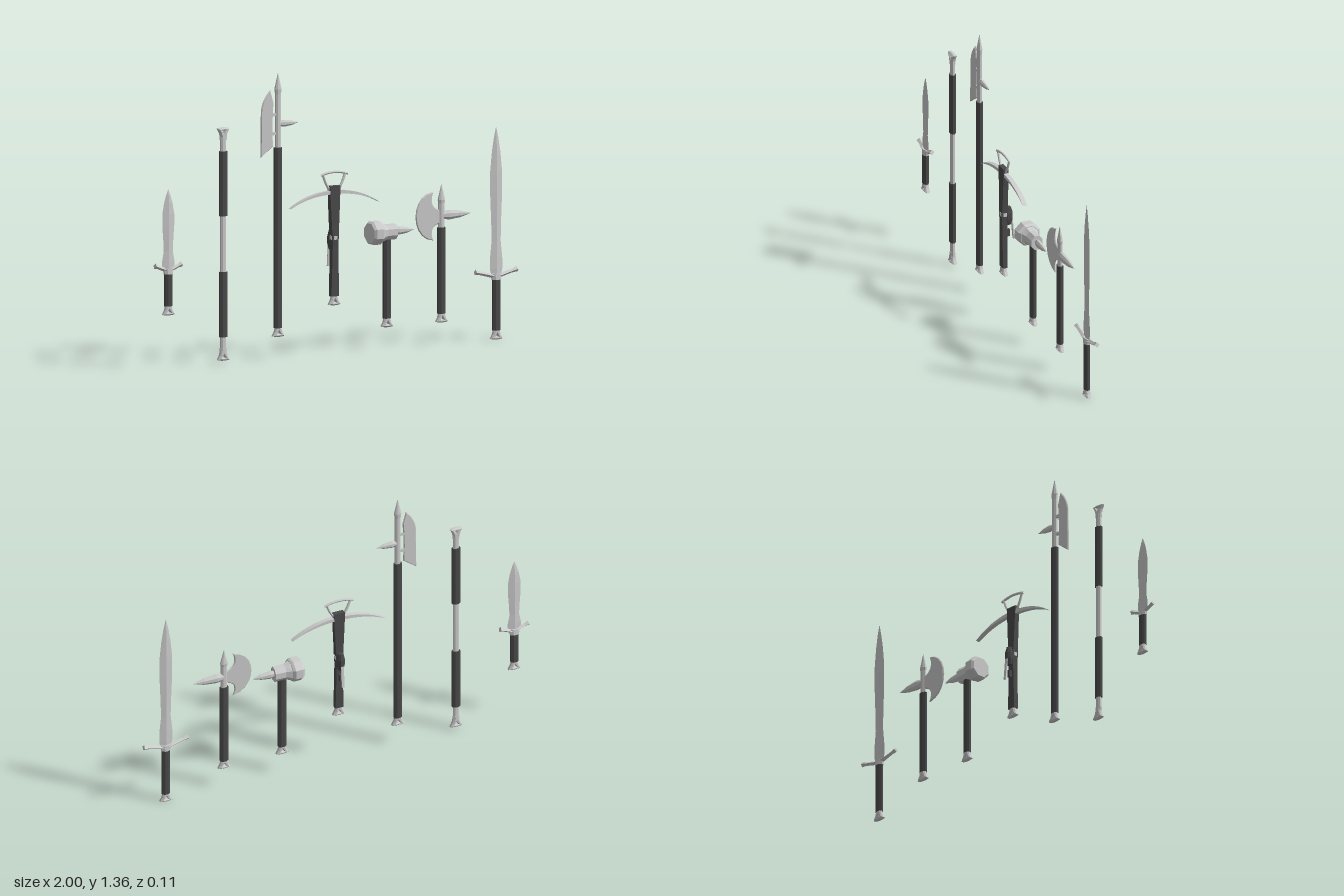
import * as THREE from 'three';

const metal = new THREE.MeshStandardMaterial({ color: 0xcccccc, flatShading: true });
const dark = new THREE.MeshStandardMaterial({ color: 0x4a4a4a, flatShading: true });

// Closed solid along y from rings [y, halfX, halfZ]; n sides, flat sides facing the axes unless diamond
function loft(rings, n = 8, diamond = false) {
  const pos = [], idx = [], off = diamond ? 0 : Math.PI / n, k = 1 / Math.cos(off);
  for (const [y, hx, hz] of rings) {
    for (let i = 0; i < n; i++) {
      const a = off + (i / n) * Math.PI * 2;
      pos.push(Math.cos(a) * hx * k, y, Math.sin(a) * hz * k);
    }
  }
  for (let r = 0; r < rings.length - 1; r++) {
    for (let i = 0; i < n; i++) {
      const a = r * n + i, b = r * n + (i + 1) % n;
      idx.push(a, a + n, b, b, a + n, b + n);
    }
  }
  const top = (rings.length - 1) * n;
  for (let i = 1; i < n - 1; i++) idx.push(0, i, i + 1, top, top + i + 1, top + i);
  const g = new THREE.BufferGeometry();
  g.setAttribute('position', new THREE.Float32BufferAttribute(pos, 3));
  g.setIndex(idx);
  g.computeVertexNormals();
  return g;
}

function add(parent, name, geometry, material, x = 0, y = 0, z = 0, rotZ = 0) {
  const m = new THREE.Mesh(geometry, material);
  m.name = name;
  m.position.set(x, y, z);
  m.rotation.z = rotZ;
  parent.add(m);
  return m;
}

function weapon(root, name, x) {
  const g = new THREE.Group();
  g.name = name;
  g.position.x = x;
  root.add(g);
  return g;
}

// Flat plate centred on z = 0 with bevelled edges
function plate(shape, depth, bevel) {
  const g = new THREE.ExtrudeGeometry(shape, {
    depth: depth - 2 * bevel, bevelEnabled: bevel > 0, bevelThickness: bevel,
    bevelSize: bevel, bevelOffset: -bevel, bevelSegments: 1, curveSegments: 10,
  });
  return g.translate(0, 0, -depth / 2 + bevel);
}

// Flared pommel pierced by a small triangle; dir = -1 hangs down, 1 points up
function pommel(parent, y, dir = -1, z = 0) {
  const s = new THREE.Shape();
  s.moveTo(-0.014, 0);
  s.lineTo(-0.021, -0.024);
  s.lineTo(-0.032, -0.044);
  s.quadraticCurveTo(0, -0.052, 0.032, -0.044);
  s.lineTo(0.021, -0.024);
  s.lineTo(0.014, 0);
  const hole = new THREE.Path();
  hole.moveTo(0, -0.021);
  hole.lineTo(0.008, -0.034);
  hole.lineTo(-0.008, -0.034);
  hole.closePath();
  s.holes.push(hole);
  const m = add(parent, 'pommel', plate(s, 0.024, 0.006), metal, 0, y, z);
  if (dir > 0) m.rotation.z = Math.PI;
  add(parent, 'pommelCollar', loft([[y - 0.012, 0.017, 0.012], [y + 0.012, 0.017, 0.012]]), metal, 0, 0, z);
}

const rod = (y0, y1, r) => loft([[y0, r, r * 0.7], [y1, r, r * 0.7]]);
const grip = (p, y0, y1) => add(p, 'grip', rod(y0, y1, 0.02), dark);
const spike = (len, r) => loft([[0, r * 0.7, r * 0.5], [len * 0.25, r, r * 0.7],
  [len * 0.65, r * 0.7, r * 0.5], [len, 0.001, 0.001]]);

// Leaf-shaped blade, V guard, grip and pommel
function sword(root, name, x, base, guardY, tip, guardHalf, bottom) {
  const g = weapon(root, name, x), L = tip - guardY;
  const profile = [[0, 0.026], [0.05, 0.034], [0.12, 0.034], [0.24, 0.025], [0.36, 0.027],
    [0.56, 0.033], [0.7, 0.033], [0.84, 0.023], [0.94, 0.011], [1, 0.001]];
  add(g, 'blade', loft(profile.map(([t, w]) => [guardY + t * L, w, Math.min(0.007, w * 0.4)]), 4, true), metal);
  for (const s of [-1, 1]) {
    const len = Math.hypot(guardHalf, 0.028);
    add(g, 'guardArm', loft([[0, 0.011, 0.014], [len * 0.75, 0.009, 0.01], [len, 0.013, 0.013]], 4, true),
      metal, 0, guardY, 0, -s * Math.atan2(guardHalf, 0.028));
  }
  add(g, 'guardCentre', loft([[guardY - 0.015, 0.022, 0.015], [guardY + 0.015, 0.026, 0.013]]), metal);
  grip(g, bottom + 0.045, guardY - 0.01);
  pommel(g, bottom + base);
}

export function createModel() {
  const root = new THREE.Group();
  root.name = 'weaponSet';

  sword(root, 'dagger', -0.925, 0.049, 0.467, 0.853, 0.073, 0.255);
  sword(root, 'longSword', 0.88, 0.05, 0.303, 1.013, 0.115, 0.002);

  // Staff
  const staff = weapon(root, 'staff', -0.623);
  add(staff, 'core', rod(0.06, 1.08, 0.0145), metal);
  grip(staff, 0.13, 0.44);
  grip(staff, 0.705, 1.013);
  pommel(staff, 0.066);
  pommel(staff, 1.078, 1);

  // Halberd
  const halberd = weapon(root, 'halberd', -0.321);
  grip(halberd, 0.15, 1.008);
  pommel(halberd, 0.156);
  add(halberd, 'socket', rod(1.0, 1.27, 0.014), metal);
  add(halberd, 'topSpike', loft([[1.26, 0.014, 0.01], [1.285, 0.017, 0.012], [1.36, 0.001, 0.001]]), metal);
  const cleaver = new THREE.Shape();
  cleaver.moveTo(-0.043, 1.282);
  cleaver.quadraticCurveTo(-0.088, 1.24, -0.094, 1.18);
  cleaver.lineTo(-0.096, 0.965);
  cleaver.lineTo(-0.028, 1.015);
  cleaver.quadraticCurveTo(-0.034, 1.12, -0.025, 1.22);
  cleaver.closePath();
  add(halberd, 'cleaverBlade', plate(cleaver, 0.01, 0.004), metal);
  for (const y of [1.075, 1.165]) add(halberd, 'bladeStrut', new THREE.BoxGeometry(0.035, 0.014, 0.01), metal, -0.02, y);
  add(halberd, 'backSpike', spike(0.105, 0.016), metal, 0.005, 1.12, 0, -Math.PI / 2);

  // Crossbow
  const bow = weapon(root, 'crossbow', -0.021), bz = 0.014;
  add(bow, 'stock', loft([[0.28, 0.021, 0.012], [0.4, 0.018, 0.013], [0.52, 0.015, 0.014], [0.56, 0.017, 0.016],
    [0.62, 0.02, 0.014], [0.74, 0.026, 0.013], [0.805, 0.028, 0.012]], 4), dark, 0, 0, bz);
  add(bow, 'stockBand', loft([[0.55, 0.02, 0.018], [0.568, 0.02, 0.018]]), metal, 0, 0, bz);
  pommel(bow, 0.285, -1, bz);
  const prod = new THREE.Shape();
  prod.moveTo(-0.243, 0.712);
  prod.quadraticCurveTo(-0.14, 0.782, 0, 0.784);
  prod.quadraticCurveTo(0.14, 0.782, 0.243, 0.712);
  prod.quadraticCurveTo(0.14, 0.767, 0, 0.766);
  prod.quadraticCurveTo(-0.14, 0.767, -0.243, 0.712);
  add(bow, 'bowArms', plate(prod, 0.022, 0), metal, 0, 0, bz);
  const half = [[0.025, 0.785], [0.045, 0.82], [0.062, 0.862]];
  for (const s of [-1, 1]) {
    const side = new THREE.CatmullRomCurve3(half.map(([x, y]) => new THREE.Vector3(s * x, y, bz)));
    add(bow, 'stirrupSide', new THREE.TubeGeometry(side, 8, 0.006, 6), metal);
  }
  const bar = new THREE.CatmullRomCurve3([-0.075, -0.04, 0, 0.04, 0.075].map(
    (x) => new THREE.Vector3(x, 0.87 - 2.2 * x * x, bz)));
  add(bow, 'stirrupBar', new THREE.TubeGeometry(bar, 12, 0.006, 6), metal);
  add(bow, 'triggerHousing', loft([[0.5, 0.012, 0.012], [0.53, 0.018, 0.02], [0.56, 0.018, 0.02], [0.59, 0.012, 0.012]]),
    dark, 0, 0, -0.01);
  const lever = add(bow, 'triggerLever', new THREE.BoxGeometry(0.014, 0.11, 0.005), metal, 0, 0.472, -0.033);
  lever.rotation.x = 0.09;
  add(bow, 'triggerCatch', new THREE.BoxGeometry(0.014, 0.035, 0.018), dark, 0, 0.455, -0.007);

  // War hammer: head lies along x
  const hammer = weapon(root, 'warHammer', 0.278);
  grip(hammer, 0.15, 0.54);
  pommel(hammer, 0.156);
  add(hammer, 'strikingHead', loft([[-0.096, 0.046, 0.047], [-0.085, 0.054, 0.056], [-0.048, 0.054, 0.056],
    [-0.037, 0.047, 0.046]]), metal, 0, 0.561, 0, -Math.PI / 2);
  add(hammer, 'headNeck', loft([[-0.042, 0.046, 0.044], [-0.01, 0.036, 0.03], [0.045, 0.036, 0.028]]),
    metal, 0, 0.56, 0, -Math.PI / 2);
  add(hammer, 'backSpike', spike(0.115, 0.019), metal, 0.035, 0.562, 0, -Math.PI / 2);

  // Battle axe
  const axe = weapon(root, 'battleAxe', 0.579);
  grip(axe, 0.15, 0.56);
  pommel(axe, 0.156);
  add(axe, 'socket', rod(0.55, 0.69, 0.015), metal);
  add(axe, 'topSpike', loft([[0.67, 0.014, 0.01], [0.69, 0.018, 0.012], [0.763, 0.001, 0.001]]), metal);
  const crescent = new THREE.Shape();
  crescent.moveTo(-0.045, 0.732);
  crescent.bezierCurveTo(-0.175, 0.725, -0.175, 0.51, -0.045, 0.5);
  crescent.quadraticCurveTo(-0.075, 0.57, -0.005, 0.58);
  crescent.lineTo(-0.005, 0.642);
  crescent.quadraticCurveTo(-0.075, 0.66, -0.045, 0.732);
  add(axe, 'crescentBlade', plate(crescent, 0.01, 0.004), metal);
  add(axe, 'backSpike', spike(0.16, 0.022), metal, 0, 0.616, 0, -Math.PI / 2);

  return root;
}
